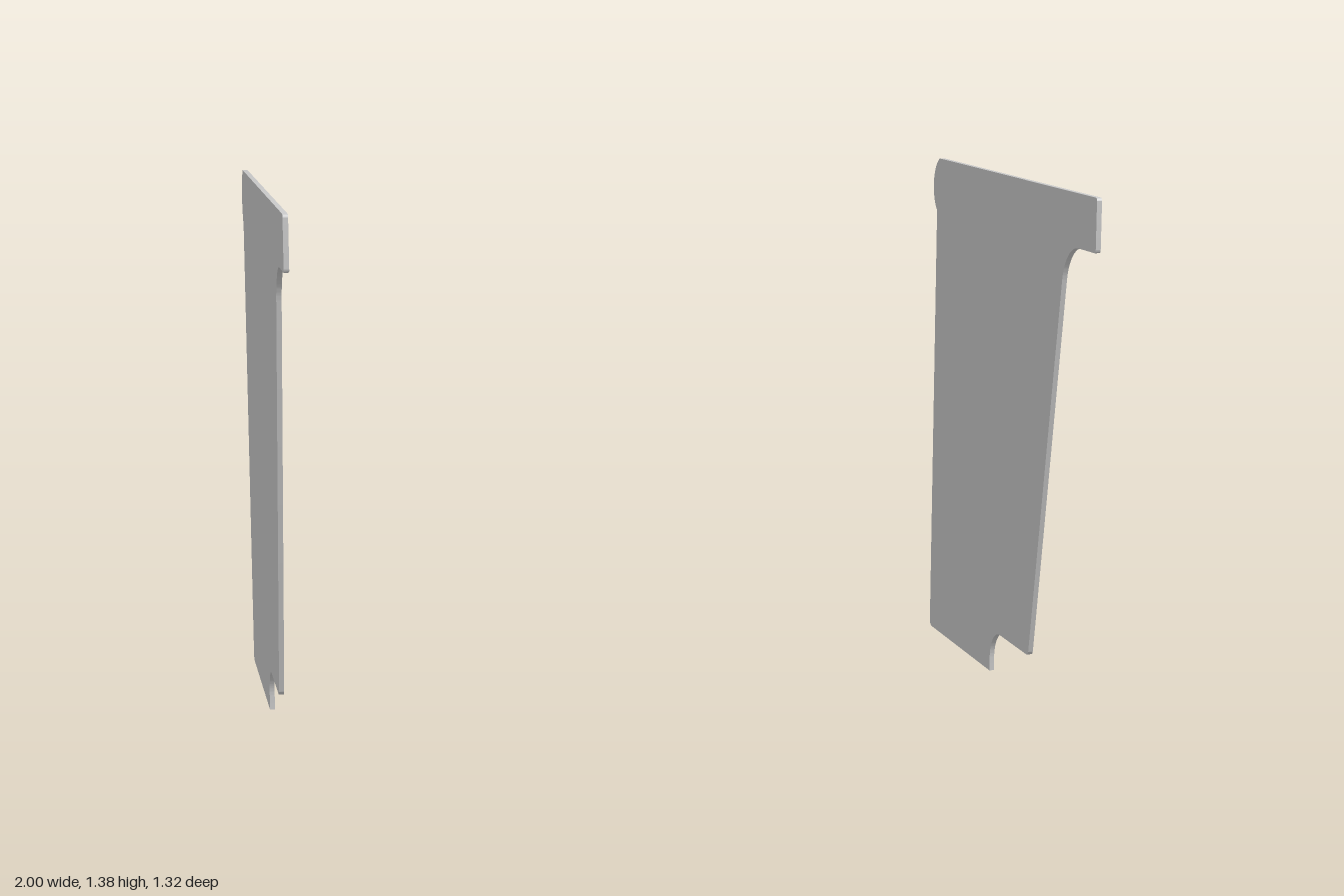
import * as THREE from 'three';
import { toCreasedNormals } from 'three/addons/utils/BufferGeometryUtils.js';

const THICKNESS = 0.013;

// Panel outline: shape x is the model's z, shape y is up
function panelOutline() {
  const s = new THREE.Shape();
  const slant = THREE.MathUtils.degToRad(10.6);
  // rounded lobe at the upper back corner
  s.absarc(-0.572, 1.298, 0.0877, Math.PI / 2 + 0.423, Math.PI + 0.927, false);
  // back edge and foot
  s.lineTo(-0.625, 0.018);
  s.quadraticCurveTo(-0.623, 0, -0.607, 0);
  s.lineTo(-0.075, 0);
  // toe notch with concave fillet
  s.lineTo(-0.075, 0.038);
  s.absarc(0.007, 0.038, 0.082, Math.PI, Math.PI / 2, true);
  s.lineTo(0.222, 0.12);
  s.quadraticCurveTo(0.237, 0.12, 0.24, 0.137);
  // slanted front edge, concave fillet below the top arm
  s.absarc(0.54, 1.126, 0.115, Math.PI - slant, Math.PI / 2, true);
  s.lineTo(0.65, 1.241);
  s.quadraticCurveTo(0.659, 1.241, 0.659, 1.25);
  s.lineTo(0.659, 1.369);
  s.quadraticCurveTo(0.659, 1.378, 0.65, 1.378);
  s.closePath();
  return s;
}

export function createModel() {
  const group = new THREE.Group();
  group.name = 'sidePanels';
  const material = new THREE.MeshStandardMaterial({ color: 0xcccccc });

  const extruded = new THREE.ExtrudeGeometry(panelOutline(), {
    depth: THICKNESS, bevelEnabled: false, curveSegments: 20,
  });
  extruded.translate(0, 0, -THICKNESS / 2);
  extruded.rotateY(-Math.PI / 2);
  const geometry = toCreasedNormals(extruded, Math.PI / 6);

  // matching panels on both sides
  for (const [name, side] of [['leftPanel', 1], ['rightPanel', -1]]) {
    const panel = new THREE.Mesh(geometry, material);
    panel.name = name;
    panel.position.x = side * (1 - THICKNESS / 2);
    group.add(panel);
  }
  return group;
}
